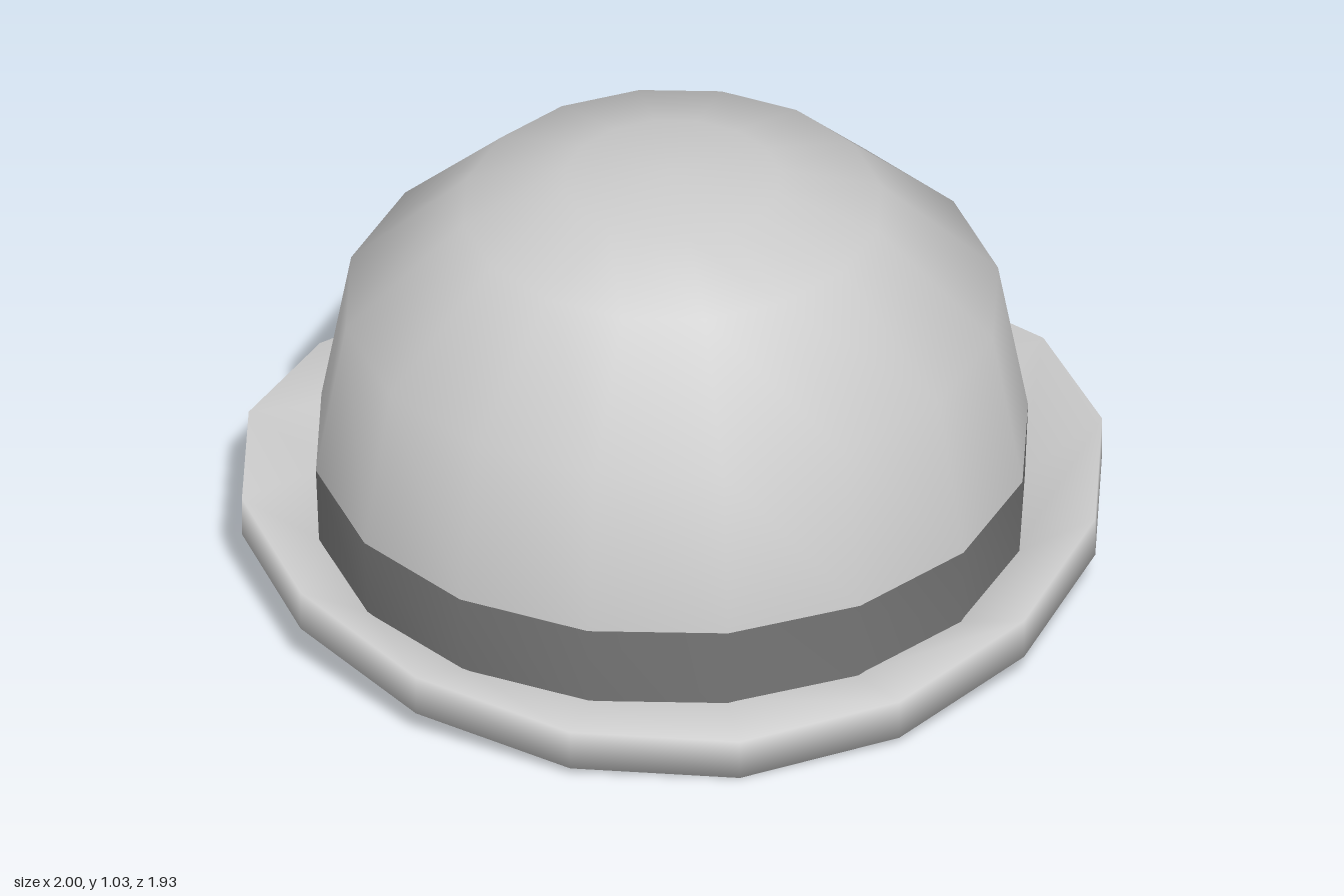
import * as THREE from 'three';
import { mergeVertices } from 'three/addons/utils/BufferGeometryUtils.js';

const SIDES = 16;
const DEPTH = 0.966; // the hat is slightly oval

// Smooth oval lathe; an optional rule moves its vertices
function ovalLathe(name, profile, color = 0xcccccc, bend = null) {
  let geometry = new THREE.LatheGeometry(profile.map(([r, y]) => new THREE.Vector2(r, y)), SIDES);
  geometry.deleteAttribute('normal');
  geometry.deleteAttribute('uv');
  geometry = mergeVertices(geometry, 1e-4);
  const pos = geometry.attributes.position;
  for (let i = 0; i < pos.count; i++) {
    const x = pos.getX(i), y = pos.getY(i), z = pos.getZ(i);
    pos.setXYZ(i, x, bend ? bend(x, y, z) : y, z * DEPTH);
  }
  geometry.computeVertexNormals();
  const material = new THREE.MeshStandardMaterial({ color, side: THREE.DoubleSide });
  const mesh = new THREE.Mesh(geometry, material);
  mesh.name = name;
  return mesh;
}

// The outer edge of the brim curls up toward the two sides
function curl(x, y, z) {
  return Math.hypot(x, z) > 0.95 ? y + 0.132 * x * x : y;
}

export function createModel() {
  const hat = new THREE.Group();
  hat.name = 'hat';
  // Domed crown
  hat.add(ovalLathe('crown', [[0.828, 0.29], [0.758, 0.68], [0.485, 0.94], [0.25, 1.01], [0, 1.035]]));
  // Dark ribbon round the foot of the crown
  hat.add(ovalLathe('band', [[0.82, 0.08], [0.828, 0.29]], 0x777777));
  // Curled brim: underside, outer edge, top
  hat.add(ovalLathe('brim', [[0.82, 0.01], [1, 0], [1, 0.1], [0.81, 0.09]], 0xcccccc, curl));
  // Shallow hollow closing the bottom
  hat.add(ovalLathe('underside', [[0, 0.04], [0.82, 0], [0.82, 0.02]]));
  return hat;
}
